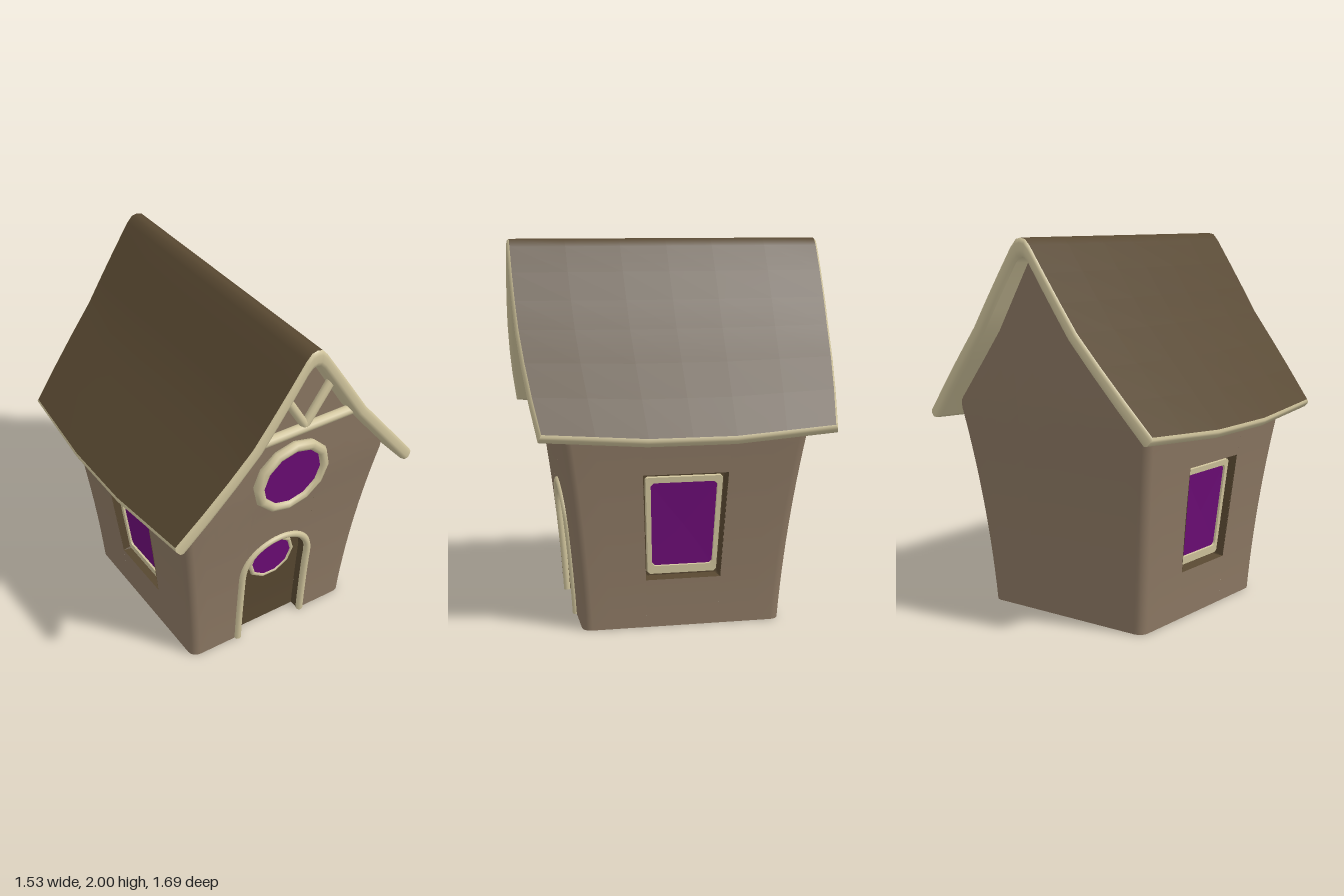
import * as THREE from 'three';

const mat = (color) => new THREE.MeshStandardMaterial({ color, side: THREE.DoubleSide });
const wallMat = mat(0x8c7863), darkMat = mat(0x584831), creamMat = mat(0xd0c49c), glassMat = mat(0x6c0c76);

const lerp = THREE.MathUtils.lerp;
const range = (n, a, b) => Array.from({ length: n + 1 }, (_, i) => lerp(a, b, i / n));

// Surface through a list of columns of points
function grid(cols) {
  const n = cols[0].length, index = [];
  for (let i = 0; i < cols.length - 1; i++)
    for (let j = 0; j < n - 1; j++) {
      const a = i * n + j, b = a + n;
      index.push(a, b, b + 1, a, b + 1, a + 1);
    }
  const g = new THREE.BufferGeometry();
  g.setAttribute('position', new THREE.Float32BufferAttribute(cols.flat(2), 3));
  g.setIndex(index);
  g.computeVertexNormals();
  return g;
}

function add(parent, name, geometry, material) {
  const mesh = new THREE.Mesh(geometry, material);
  mesh.name = name;
  parent.add(mesh);
  return mesh;
}

// Piecewise linear lookup in a list of [key, value]
function lookup(table, k) {
  let i = 1;
  while (i < table.length - 1 && k > table[i][0]) i++;
  const [a, b] = [table[i - 1], table[i]];
  return lerp(a[1], b[1], (k - a[0]) / (b[0] - a[0]));
}

// Flared walls: half width and half depth by height
const R = 0.05;
const flare = (y) => 0.06 * y + 0.05 * y * y;
const W = (y) => 0.51 + flare(Math.min(y, 1.1));
const D = (y) => 0.525 + flare(Math.min(y, 1.1)) + Math.max(0, y - 1.1) * 0.1;
const wallTop = (x) => lookup([[0, 1.95], [0.05, 1.92], [0.31, 1.53], [0.72, 1.04]], Math.abs(x));

// A wall column: x = c + f * width, z = fz * depth, plus the corner rounding
function column({ c = 0, f = 0, fz, nx = 0, nz = 0, lo = 0, hi }) {
  const px = (y) => c + f * (W(y) - R) + R * nx;
  return range(14, lo, hi ?? wallTop(px(1.1))).map((y) => [px(y), y, fz * (D(y) - R) + R * nz]);
}

const DOOR = 0.2, SPRING = 0.49, RISE = 0.185, HOLE = 0.4, SILL = 0.26, HEAD = 0.83;
const arch = (x) => SPRING + RISE * Math.sqrt(Math.max(0, 1 - (x / DOOR) ** 2));
const doorXs = range(10, Math.PI, 0).map((a) => DOOR * Math.cos(a));

function walls(group) {
  const g = new THREE.Group();
  g.name = 'walls';
  group.add(g);
  for (const sx of [1, -1]) {
    // Corner quarters, from the middle of the gable wall round to the window
    for (const sz of [1, -1]) {
      const cols = range(5, 0, 1).map((k) => column({ c: sx * DOOR * (1 - k), f: sx * k, fz: sz, nz: sz }));
      for (const a of range(5, 0, Math.PI / 2).slice(1))
        cols.push(column({ f: sx, fz: sz, nx: sx * Math.sin(a), nz: sz * Math.cos(a) }));
      for (const u of range(3, 1, HOLE).slice(1)) cols.push(column({ f: sx, fz: sz * u, nx: sx }));
      add(g, 'wallCorner', grid(sx * sz > 0 ? cols : cols.reverse()), wallMat);
    }
    // Wall below and above the side window
    const us = range(4, sx * HOLE, -sx * HOLE);
    add(g, 'wallBelowWindow', grid(us.map((u) => column({ f: sx, fz: u, nx: sx, hi: SILL }))), wallMat);
    add(g, 'wallAboveWindow', grid(us.map((u) => column({ f: sx, fz: u, nx: sx, lo: HEAD }))), wallMat);
  }
  add(g, 'wallAboveDoor', grid(doorXs.map((c) => column({ c, fz: 1, nz: 1, lo: arch(c) }))), wallMat);
  add(g, 'backWallMiddle', grid(doorXs.map((c) => column({ c: -c, fz: -1, nz: -1 }))), wallMat);
}

// Ring and pane of a round window
function roundWindow(group, name, y, z, tilt, radius, tube, sides) {
  const g = new THREE.Group();
  g.name = name;
  g.position.set(0, y, z);
  g.rotation.x = tilt;
  add(g, 'ring', new THREE.TorusGeometry(radius, tube, 8, sides), creamMat);
  const pane = new THREE.CylinderGeometry(radius, radius, 0.04, sides);
  pane.rotateY(Math.PI / 2).rotateX(Math.PI / 2);
  add(g, 'pane', pane, glassMat).position.z = -0.012;
  group.add(g);
}

function door(group) {
  const depth = 0.06;
  const outline = [
    ...range(6, 0, SPRING).map((y) => [-DOOR, y]),
    ...doorXs.slice(1, -1).map((x) => [x, arch(x)]),
    ...range(6, SPRING, 0).map((y) => [DOOR, y]),
  ];
  add(group, 'doorReveal', grid(outline.map(([x, y]) => [[x, y, D(y)], [x, y, D(y) - depth]])), darkMat);
  add(group, 'doorLeaf', grid(doorXs.map((x) => range(8, 0, arch(x)).map((y) => [x, y, D(y) - depth]))), darkMat);
  const path = outline.map(([x, y]) =>
    new THREE.Vector3(x * 1.07, y > SPRING ? SPRING + (y - SPRING) * 1.08 : y, D(y)));
  add(group, 'doorTrim', new THREE.TubeGeometry(new THREE.CatmullRomCurve3(path), 60, 0.02, 8), creamMat);
  roundWindow(group, 'doorWindow', 0.505, 0.52, 0.11, 0.135, 0.014, 10);
}

// Recessed side window made of nested outlines
function sideWindow(group, sx) {
  const g = new THREE.Group();
  g.name = sx > 0 ? 'leftWindow' : 'rightWindow';
  group.add(g);
  const loop = (u, y0, y1, cut, d) => {
    const v = cut * 2;
    return [[-u + v, y0], [u - v, y0], [u, y0 + cut], [u, y1 - cut], [u - v, y1], [-u + v, y1],
      [-u, y1 - cut], [-u, y0 + cut], [-u + v, y0]].map(([a, y]) => [sx * (W(y) - d), y, -sx * a * (D(y) - R)]);
  };
  const strip = (name, loops, m) => {
    for (let i = 1; i < loops.length; i++) add(g, name, grid([loops[i], loops[i - 1]]), m);
  };
  strip('reveal', [loop(HOLE, SILL, HEAD, 0, 0), loop(0.385, 0.268, 0.822, 0.012, 0.06),
    loop(0.36, 0.285, 0.81, 0.012, 0.06)], darkMat);
  strip('frame', [loop(0.37, 0.28, 0.81, 0.012, 0.06), loop(0.365, 0.283, 0.808, 0.012, 0.035),
    loop(0.32, 0.325, 0.778, 0.015, 0.035), loop(0.315, 0.328, 0.775, 0.015, 0.05)], creamMat);
  const mid = [sx * (W(0.55) - 0.048), 0.55, 0];
  const edge = loop(0.32, 0.325, 0.778, 0.015, 0.046);
  add(g, 'pane', grid([edge.map(() => mid), edge]), glassMat);
}

// Roof point: u across the ridge, t along it, d from the outer to the inner skin
const KNOTS = [0, 0.03, 0.07, 0.48, 1];
const OUTER = [[0, 2], [0.03, 1.993], [0.06, 1.96], [0.34, 1.545], [0.74, 1.07]];
const INNER = [[0, 1.905], [0.02, 1.9], [0.045, 1.875], [0.285, 1.51], [0.69, 1.02]];
function roofPoint(u, t, d) {
  const a = Math.abs(u);
  const at = (pts, k) => lookup(pts.map((p, i) => [KNOTS[i], p[k]]), a);
  const bow = 0.034 * a * a * Math.min(1, (1 - Math.abs(t)) / 0.7);
  const x = lerp(at(OUTER, 0), at(INNER, 0), d) + bow;
  const y = lerp(at(OUTER, 1), at(INNER, 1), d) - bow;
  return [Math.sign(u) * x, y, t * (0.845 - 0.17 * Math.min(x, 0.74) ** 2)];
}

function roof(group) {
  const half = [0.03, 0.07, 0.2, 0.34, 0.48, 0.65, 0.82, 1];
  const us = [...half.map((u) => -u).reverse(), 0, ...half];
  const ts = [1, 0.65, 0.3, 0, -0.3, -0.65, -1];
  const skin = (inset, d) => us.map((u) => ts.map((t) => roofPoint(u * (1 - inset), t * (1 - inset), d)));
  add(group, 'roofTop', grid(skin(0.014, 0)), darkMat);
  add(group, 'roofUnderside', grid(skin(0.03, 1).reverse()), creamMat);
  // Rounded rim all the way round
  const around = [...us.map((u) => [u, 1]), ...ts.map((t) => [1, t]),
    ...us.map((u) => [-u, -1]), ...ts.map((t) => [-1, -t])];
  const section = [[0.03, 1], [0.01, 0.87], [0, 0.62], [0, 0.25], [0.004, 0.08], [0.014, 0]];
  add(group, 'roofRim', grid(around.map(([u, t]) =>
    section.map(([inset, d]) => roofPoint(u * (1 - inset), t * (1 - inset), d)))), creamMat);
}

// Gable truss: a tie beam and two struts
function truss(group) {
  const beam = (name, a, b, r) => {
    const path = new THREE.LineCurve3(new THREE.Vector3(...a), new THREE.Vector3(...b));
    add(group, name, new THREE.TubeGeometry(path, 1, r, 10), creamMat);
  };
  beam('tieBeam', [-0.31, 1.525, 0.765], [0.31, 1.525, 0.765], 0.027);
  for (const s of [1, -1]) beam('strut', [0, 1.54, 0.765], [s * 0.155, 1.79, 0.78], 0.023);
}

export function createModel() {
  const group = new THREE.Group();
  group.name = 'cottage';
  walls(group);
  door(group);
  roundWindow(group, 'gableWindow', 1.17, 0.678, 0.12, 0.2, 0.029, 12);
  for (const sx of [1, -1]) sideWindow(group, sx);
  roof(group);
  truss(group);
  return group;
}
